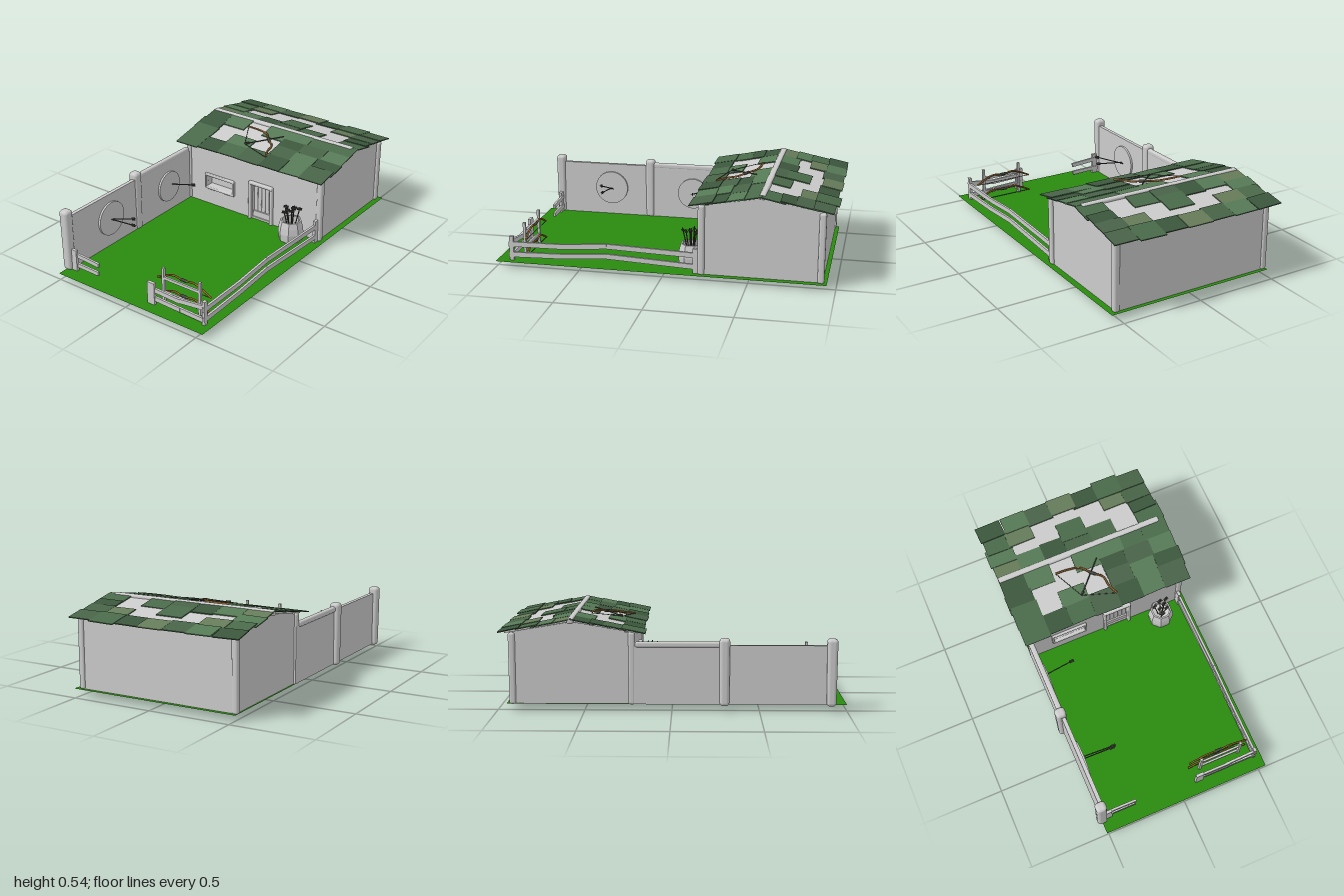
import * as THREE from 'three';
import { RoundedBoxGeometry } from 'three/addons/geometries/RoundedBoxGeometry.js';

const V = (x, y, z) => new THREE.Vector3(x, y, z);
const mat = (color, extra = {}) => new THREE.MeshStandardMaterial({ color, ...extra });
const grey = mat(0xcccccc);
const greyOpen = mat(0xcccccc, { side: THREE.DoubleSide, flatShading: true });
const wood = mat(0x96652f);
const dark = mat(0x45473f);
const greens = [0x4a6a4a, 0x3c573d, 0x667c5a, 0x567a56, 0x486348].map((c) => mat(c));

let seed = 7;
const rnd = () => (seed = (seed * 16807) % 2147483647) / 2147483647;
const jit = (a) => (rnd() - 0.5) * 2 * a;

export function createModel() {
  const root = new THREE.Group();

  function add(name, geo, material = grey, parent = root) {
    const m = new THREE.Mesh(geo, material);
    m.name = name;
    parent.add(m);
    return m;
  }
  function box(name, x0, x1, y0, y1, z0, z1, material = grey, parent = root) {
    const m = add(name, new THREE.BoxGeometry(x1 - x0, y1 - y0, z1 - z0), material, parent);
    m.position.set((x0 + x1) / 2, (y0 + y1) / 2, (z0 + z1) / 2);
    return m;
  }
  // plank running from a to b
  function beam(name, a, b, w, h, material = grey, parent = root) {
    const m = add(name, new THREE.BoxGeometry(w, h, a.distanceTo(b)), material, parent);
    m.position.copy(a).add(b).multiplyScalar(0.5);
    m.lookAt(b);
    return m;
  }
  // thin round rod from a to b
  function rod(name, a, b, r, material = dark, parent = root) {
    return add(name, new THREE.TubeGeometry(new THREE.LineCurve3(a, b), 1, r, 6), material, parent);
  }
  // rough hewn log with soft corners and a slightly uneven girth
  function log(name, len, w, d) {
    const g = new RoundedBoxGeometry(w, len, d, 4, Math.min(w, d) * 0.35);
    const p = g.attributes.position;
    for (let i = 0; i < p.count; i++) {
      const k = 1 + 0.06 * Math.sin((p.getY(i) / len) * 9 + w * 50);
      p.setX(i, p.getX(i) * k);
      p.setZ(i, p.getZ(i) * k);
    }
    return add(name, g);
  }
  function post(name, x, z, y0, y1, w, d = w) {
    log(name, y1 - y0, w, d).position.set(x, (y0 + y1) / 2, z);
  }
  // arrow with its tip at a and crossed feathers at b
  function arrow(a, b, parent = root) {
    const g = new THREE.Group();
    g.name = 'arrow';
    parent.add(g);
    rod('arrowShaft', a, b, 0.0035, dark, g);
    const c = a.clone().lerp(b, 1 - 0.03 / a.distanceTo(b));
    beam('featherA', c, b, 0.018, 0.002, dark, g);
    beam('featherB', c, b, 0.002, 0.018, dark, g);
  }
  function bow(points, stringPoints) {
    const g = new THREE.Group();
    g.name = 'bow';
    root.add(g);
    add('bowLimbs', new THREE.TubeGeometry(new THREE.CatmullRomCurve3(points), 32, 0.006, 6), wood, g);
    const n = points.length;
    const mid = points[(n - 1) / 2];
    rod('bowGrip', mid.clone().lerp(points[(n - 3) / 2], 0.3), mid.clone().lerp(points[(n + 1) / 2], 0.3), 0.009, dark, g);
    for (let i = 1; i < stringPoints.length; i++) rod('bowString', stringPoints[i - 1], stringPoints[i], 0.002, dark, g);
  }

  // grass
  const grass = add('grass', new THREE.PlaneGeometry(1.055, 1.95), mat(0x2a8a0e, { side: THREE.DoubleSide }));
  grass.rotation.x = -Math.PI / 2;
  grass.position.set(0.017, 0.037, 0.025);

  // house body, a gabled prism extruded along x
  const side = new THREE.Shape([[0.27, 0.037], [0.925, 0.037], [0.925, 0.45], [0.575, 0.51], [0.27, 0.458]].map(([a, b]) => new THREE.Vector2(a, b)));
  const body = add('houseBody', new THREE.ExtrudeGeometry(side, { depth: 1.005, bevelEnabled: false }));
  body.rotation.y = Math.PI / 2;
  body.position.x = -0.5;

  // front wall with door and window openings
  const rect = (C, x0, x1, y0, y1) => new C([[x0, y0], [x1, y0], [x1, y1], [x0, y1]].map(([a, b]) => new THREE.Vector2(a, b)));
  const wall = rect(THREE.Shape, -0.5, 0.505, 0.037, 0.452);
  wall.holes.push(rect(THREE.Path, -0.35, -0.14, 0.16, 0.24), rect(THREE.Path, 0.01, 0.15, 0.05, 0.28));
  add('frontWall', new THREE.ExtrudeGeometry(wall, { depth: 0.05, bevelEnabled: false })).position.z = -0.27;

  // window frame and door frame
  for (const y of [0.154, 0.246]) {
    const m = log('windowBar', 0.23, 0.018, 0.024);
    m.rotation.z = Math.PI / 2;
    m.position.set(-0.245, y, -0.217);
  }
  for (const x of [-0.354, -0.136]) post('windowJamb', x, -0.217, 0.15, 0.25, 0.014, 0.024);
  for (const x of [-0.004, 0.158]) post('doorJamb', x, -0.215, 0.035, 0.29, 0.02, 0.03);
  const lintel = log('doorLintel', 0.18, 0.022, 0.034);
  lintel.rotation.z = Math.PI / 2;
  lintel.position.set(0.077, 0.29, -0.215);

  // door of rounded planks
  for (let i = 0; i < 5; i++) post('doorPlank', 0.024 + i * 0.028, -0.245, 0.045, 0.28, 0.029, 0.016);
  box('doorStep', 0.008, 0.152, 0.037, 0.09, -0.26, -0.228);

  // house corner posts
  for (const x of [-0.495, 0.502]) {
    post('cornerPost', x, -0.23, 0.034, 0.455, 0.04);
    post('cornerPost', x, -0.915, 0.034, 0.45, 0.04);
  }

  // roof slopes with patchy shingles; rows run from ridge to eave, columns from -x to +x
  const tilt = Math.atan2(0.07, 0.41);
  const slopes = [
    [1, ['1101111', '1000111', '1010111', '1111111']],
    [-1, ['1111101', '1001001', '1100011', '1111111']],
  ];
  for (const [s, rows] of slopes) {
    const g = new THREE.Group();
    g.name = s > 0 ? 'frontRoof' : 'backRoof';
    g.rotation.order = 'YXZ';
    g.rotation.set(tilt, s > 0 ? 0 : Math.PI, 0);
    g.position.set(0, 0.517, -0.575);
    root.add(g);
    box('roofBoard', -0.51, 0.51, -0.005, 0.005, 0, 0.385, grey, g);
    rows.forEach((row, r) => [...row].forEach((on, c) => {
      if (on === '0') return;
      const t = add('shingle', new THREE.BoxGeometry(0.162 + jit(0.008), 0.006, 0.13 + jit(0.012)), greens[Math.floor(rnd() * 5)], g);
      t.position.set(s * (-0.465 + c * 0.155) + jit(0.006), 0.01 + jit(0.002), 0.066 + r * 0.096 + jit(0.008));
      t.rotation.set(0.035, jit(0.03), jit(0.012));
    }));
  }
  const ridge = log('ridgeBeam', 1.055, 0.034, 0.038);
  ridge.rotation.z = Math.PI / 2;
  ridge.position.set(-0.017, 0.52, -0.575);

  // courtyard wall with posts and a coping log
  box('yardWallFront', -0.512, -0.488, 0.037, 0.38, 0.3, 0.92);
  box('yardWallBack', -0.512, -0.488, 0.037, 0.375, -0.25, 0.3);
  const coping = log('wallCoping', 0.5, 0.034, 0.034);
  coping.rotation.x = Math.PI / 2;
  coping.position.set(-0.503, 0.383, 0.04);
  for (const z of [0.91, 0.3]) post('wallPost', -0.508, z, 0.03, 0.42, 0.062, 0.058);

  // targets on the wall with arrows stuck in them
  for (const [z, y, r] of [[0.56, 0.22, 0.108], [0.01, 0.21, 0.1]]) {
    const t = add('target', new THREE.CylinderGeometry(r, r, 0.014, 32));
    t.rotation.z = Math.PI / 2;
    t.position.set(-0.482, y, z);
  }
  arrow(V(-0.48, 0.21, 0.55), V(-0.275, 0.29, 0.58));
  arrow(V(-0.48, 0.215, 0.565), V(-0.28, 0.24, 0.575));
  arrow(V(-0.48, 0.215, -0.015), V(-0.295, 0.262, -0.02));

  // fences: right side, front right, front left
  const sideRails = [
    [[0.93, 0.07], [0.6, 0.08], [0.33, 0.1], [-0.21, 0.075]],
    [[0.93, 0.135], [0.6, 0.14], [0.33, 0.162], [-0.21, 0.145]],
  ];
  for (const line of sideRails)
    for (let i = 1; i < line.length; i++)
      beam('sideRail', V(0.497, line[i - 1][1], line[i - 1][0]), V(0.497, line[i][1], line[i][0]), 0.014, 0.03);
  box('fencePost', 0.486, 0.504, 0.03, 0.185, 0.9, 0.925);
  box('fencePost', 0.486, 0.504, 0.03, 0.185, -0.22, -0.18);
  for (const [a, b, c] of [[0.075, 0.068, 0.062], [0.13, 0.122, 0.145]]) {
    beam('frontRail', V(0.12, a, 0.917), V(0.33, b, 0.917), 0.014, 0.028);
    beam('frontRail', V(0.31, b, 0.915), V(0.5, c, 0.915), 0.014, 0.028);
  }
  box('frontFencePost', 0.105, 0.155, 0.033, 0.175, 0.912, 0.93);
  box('frontFencePost', -0.49, -0.442, 0.03, 0.172, 0.9, 0.918);
  beam('shortRail', V(-0.48, 0.072, 0.902), V(-0.285, 0.068, 0.902), 0.014, 0.025);
  beam('shortRail', V(-0.48, 0.138, 0.902), V(-0.28, 0.125, 0.902), 0.014, 0.026);

  // bow rack
  for (const x of [0.165, 0.42]) box('rackPost', x - 0.008, x + 0.008, 0.024, 0.247, 0.848, 0.864);
  for (const y of [0.09, 0.185]) box('rackBar', 0.16, 0.425, y - 0.009, y + 0.009, 0.85, 0.862);
  for (const dy of [0, -0.105]) {
    const pts = [[0.1, 0.155], [0.16, 0.185], [0.22, 0.206], [0.29, 0.197], [0.36, 0.206], [0.42, 0.185], [0.48, 0.155]].map(([x, y]) => V(x, y + dy, 0.832));
    bow(pts, [pts[0], pts[6]]);
  }

  // bow and arrow lying on the front roof slope
  const onRoof = ([x, z]) => V(x, 0.537 - (z + 0.575) * 0.171, z);
  const rb = [[-0.21, -0.485], [-0.14, -0.482], [-0.06, -0.465], [0.0, -0.405], [0.05, -0.365], [0.062, -0.3], [0.09, -0.24]].map(onRoof);
  const nock = onRoof([-0.115, -0.305]);
  bow(rb, [rb[0], nock, rb[6]]);
  arrow(onRoof([0.06, -0.485]), nock);

  // eight-sided barrel of arrows
  const barrel = new THREE.Group();
  barrel.name = 'arrowBarrel';
  barrel.position.set(0.35, 0, -0.145);
  root.add(barrel);
  const prof = [[0, 0], [0.062, 0], [0.075, 0.045], [0.08, 0.09], [0.075, 0.13], [0.065, 0.168], [0.055, 0.168], [0.06, 0.12], [0, 0.1]];
  const tub = add('barrel', new THREE.LatheGeometry(prof.map(([x, y]) => new THREE.Vector2(x, y)), 8), greyOpen, barrel);
  tub.rotation.y = Math.PI / 8;
  for (let i = 0; i < 7; i++) {
    const a = i * 2.4, r = 0.012 + 0.005 * i;
    const x = Math.cos(a) * r, z = Math.sin(a) * r;
    arrow(V(x * 0.5, 0.1, z * 0.5), V(x * 1.45, 0.235 + 0.03 * rnd(), z * 1.45), barrel);
  }

  return root;
}
